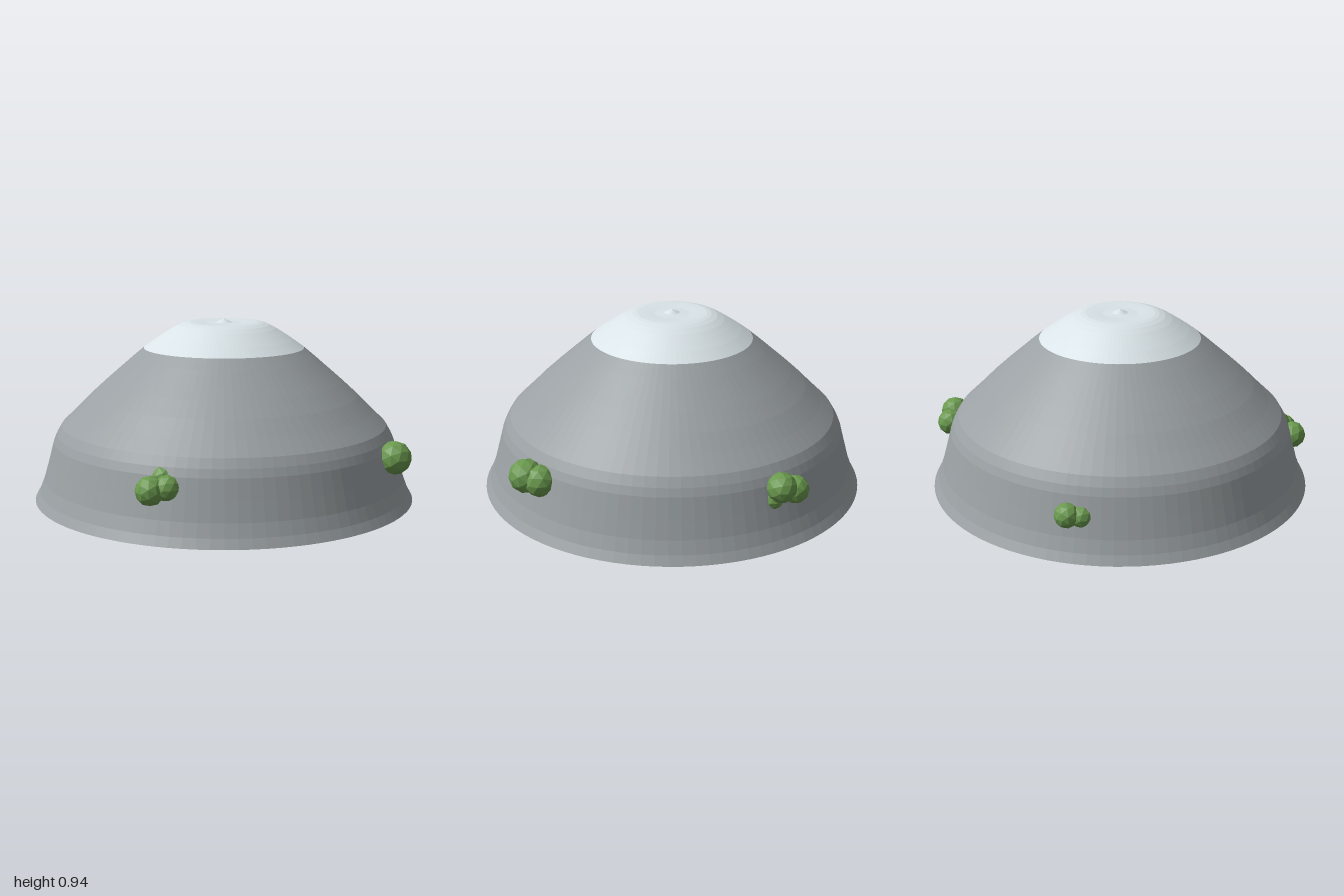
import * as THREE from 'three';

const mat = (name, color, opts = {}) => {
  const m = new THREE.MeshStandardMaterial({ color, ...opts });
  m.name = name;
  return m;
};

export function createModel() {
  const model = new THREE.Group();
  model.name = 'mountainWithTrees';

  const rock = mat('rock grey', 0x9aa0a3, { flatShading: true, side: THREE.DoubleSide });
  const snow = mat('snow white', 0xdbe5e9, { flatShading: true, side: THREE.DoubleSide });
  const bark = mat('bark brown', 0x7f5539, { flatShading: true });
  const leaf = mat('leaf green', 0x6a994e, { flatShading: true });

  // Open mountain shell, turned from a profile of [radius, height]
  const shell = (name, profile, material) => {
    const points = profile.map(([r, y]) => new THREE.Vector2(r, y));
    const mesh = new THREE.Mesh(new THREE.LatheGeometry(points, 96), material);
    mesh.name = name;
    model.add(mesh);
  };
  shell('mountainSlope', [
    [1, 0], [0.975, 0.045], [0.95, 0.11], [0.925, 0.2], [0.897, 0.305], [0.88, 0.345],
    [0.853, 0.39], [0.78, 0.46], [0.7, 0.54], [0.62, 0.613], [0.55, 0.674], [0.48, 0.735], [0.42, 0.785],
  ], rock);
  shell('snowCap', [
    [0.42, 0.785], [0.36, 0.828], [0.31, 0.861], [0.27, 0.886], [0.235, 0.904], [0.205, 0.914],
    [0.18, 0.918], [0.14, 0.917], [0.09, 0.914], [0.04, 0.916], [0, 0.935],
  ], snow);

  // One tree: a trunk at (x, z) and leaf clumps [x, y, z, radius]
  const trunkGeo = new THREE.CylinderGeometry(0.023, 0.03, 0.22, 7);
  const clumpGeo = new THREE.IcosahedronGeometry(1, 1);
  const addTree = (name, x, z, clumps) => {
    const tree = new THREE.Group();
    tree.name = name;
    const trunk = new THREE.Mesh(trunkGeo, bark);
    trunk.name = 'trunk';
    trunk.position.set(x, 0.11, z);
    tree.add(trunk);
    clumps.forEach(([cx, cy, cz, r], i) => {
      const clump = new THREE.Mesh(clumpGeo, leaf);
      clump.name = 'leafClump';
      clump.position.set(cx, cy, cz);
      clump.scale.setScalar(r);
      clump.rotation.y = x * 7 + i * 1.3;
      tree.add(clump);
    });
    model.add(tree);
  };

  // Outer trees, whose leaves push through the slope
  addTree('outerTreeBackLeft', 0.536, -0.694,
    [[0.595, 0.293, -0.71, 0.075], [0.53, 0.262, -0.763, 0.07], [0.59, 0.225, -0.665, 0.055]]);
  addTree('outerTreeFrontLeft', 0.744, 0.467,
    [[0.79, 0.283, 0.51, 0.086], [0.802, 0.272, 0.432, 0.08], [0.73, 0.25, 0.4, 0.078]]);
  addTree('outerTreeFrontRight', -0.395, 0.766,
    [[-0.45, 0.237, 0.805, 0.072], [-0.37, 0.25, 0.81, 0.066], [-0.38, 0.285, 0.755, 0.07]]);
  addTree('outerTreeBackRight', -0.64, -0.58,
    [[-0.665, 0.21, -0.64, 0.062], [-0.685, 0.2, -0.575, 0.06], [-0.62, 0.255, -0.54, 0.066]]);

  // Inner trees, standing under the shell
  for (let i = 0; i < 4; i++) {
    const a = THREE.MathUtils.degToRad(85 * i);
    const x = 0.714 * Math.cos(a), z = 0.714 * Math.sin(a);
    addTree('innerTree', x, z, [
      [x, 0.265, z, 0.075],
      [x + 0.052, 0.235, z + 0.035, 0.066],
      [x - 0.05, 0.225, z - 0.035, 0.06],
    ]);
  }
  return model;
}
